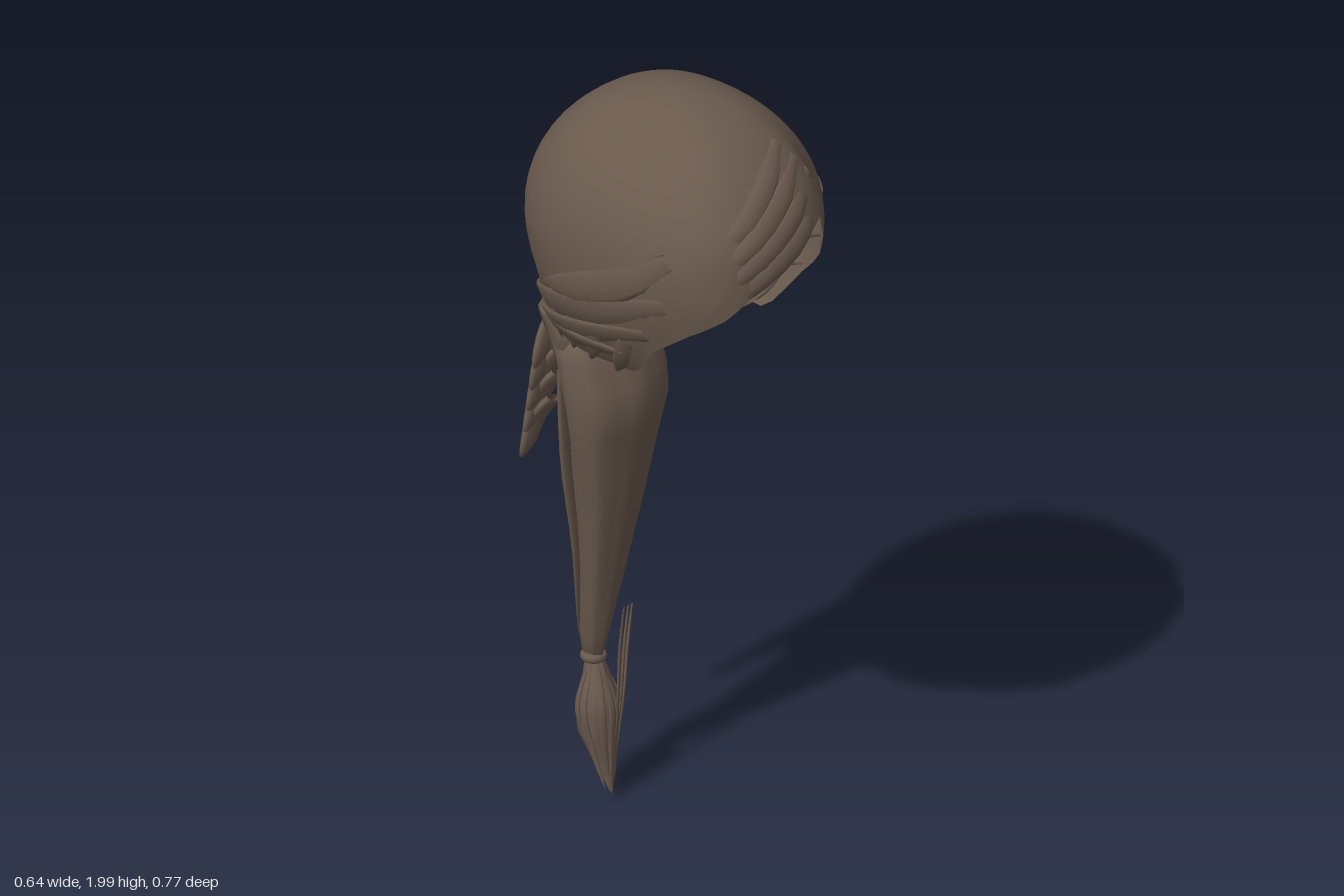
import * as THREE from 'three';
import { mergeVertices } from 'three/addons/utils/BufferGeometryUtils.js';

const rad = THREE.MathUtils.degToRad;

// Linear lookup in a table of [key, value, value...] rows, keys ascending
function lookup(table, k) {
  let i = 0;
  while (i < table.length - 2 && k > table[i + 1][0]) i++;
  const a = table[i], b = table[i + 1];
  const t = THREE.MathUtils.clamp((k - a[0]) / (b[0] - a[0]), 0, 1);
  return a.slice(1).map((v, j) => v + (b[j + 1] - v) * t);
}

// Smooth surface from a rule fn(u, v) -> [x, y, z]
function surface(nu, nv, fn) {
  const pos = [], index = [];
  for (let j = 0; j <= nv; j++)
    for (let i = 0; i <= nu; i++) pos.push(...fn(i / nu, j / nv));
  for (let j = 0; j < nv; j++)
    for (let i = 0; i < nu; i++) {
      const a = j * (nu + 1) + i, b = a + nu + 1;
      index.push(a, b, a + 1, a + 1, b, b + 1);
    }
  let g = new THREE.BufferGeometry();
  g.setAttribute('position', new THREE.Float32BufferAttribute(pos, 3));
  g.setIndex(index);
  g = mergeVertices(g, 1e-5);
  g.computeVertexNormals();
  return g;
}

// Lower edge of the cap by angle from the front, towards +x
const HEM = [
  [-180, 1.30], [-120, 1.32], [-90, 1.35], [-77, 1.35], [-66, 1.45], [-52, 1.52], [-35, 1.58],
  [-18, 1.65], [0, 1.70], [20, 1.735], [37, 1.78], [45, 1.68], [54, 1.55], [66, 1.46],
  [77, 1.35], [90, 1.35], [120, 1.32], [180, 1.30],
];
// Below the widest level: y, half width, front z, back z
const LOWER = [[1.3, 0.19, 0.24, 0.325], [1.4, 0.255, 0.31, 0.335], [1.5, 0.288, 0.36, 0.35],
  [1.58, 0.305, 0.38, 0.375], [1.65, 0.31, 0.38, 0.382]];

// Point on the head surface at an angle and height
function headPoint(deg, y, off = 0) {
  let w, f, b;
  if (y > 1.65) {
    const r = Math.sqrt(Math.max(0, 1 - ((y - 1.65) / 0.35) ** 2));
    [w, f, b] = [0.31 * r, 0.375 * r, 0.382 * r];
  } else [w, f, b] = lookup(LOWER, y);
  const s = Math.sin(rad(deg)), c = Math.cos(rad(deg));
  const round = (v) => Math.sign(v) * Math.abs(v) ** 0.88;
  const low = THREE.MathUtils.clamp((1.95 - y) / 0.2, 0, 1);
  const k = 1 + low * (0.06 * Math.exp(-(((deg + 38) / 24) ** 2)) - 0.08 * Math.exp(-(((deg - 42) / 9) ** 2)));
  return [round(s) * (w * k + off), y, round(c) * ((c > 0 ? f : b) * k + off)];
}

// Flattened, tapering lock along a path; its flat side faces away from centre
function lock(points, width, thick, centre, tipStart = 0.15) {
  const curve = new THREE.CatmullRomCurve3(points.map((p) => new THREE.Vector3(...p)));
  return surface(8, 10, (u, v) => {
    const p = curve.getPoint(v), t = curve.getTangent(v);
    const out = p.clone().sub(centre(p)).normalize();
    const side = t.clone().cross(out).normalize();
    out.crossVectors(side, t).normalize();
    const size = Math.max(0.001, Math.sin(Math.PI * (tipStart + (1 - tipStart) * v)) ** 0.8);
    const a = u * Math.PI * 2;
    return p.addScaledVector(side, Math.cos(a) * width * size / 2)
      .addScaledVector(out, Math.sin(a) * thick * size / 2).toArray();
  });
}

// Closed lofted bundle: rows of y, half width, front z, back z (ascending y)
function bundle(rows, ridges, depth) {
  const top = rows[rows.length - 1][0], base = rows[0][0];
  const n = 14;
  return surface(24, n + 2, (u, v) => {
    const row = Math.round(v * (n + 2));
    const k = THREE.MathUtils.clamp((row - 1) / n, 0, 1);
    const y = top + (base - top) * k;
    const [w, f, b] = lookup(rows, y);
    const a = u * Math.PI * 2;
    const r = (row === 0 || row === n + 2) ? 0 : 1 + depth * Math.cos(a * ridges);
    return [Math.sin(a) * w * r, y, (f + b) / 2 + Math.cos(a) * (f - b) / 2 * r];
  });
}

export function createModel() {
  const model = new THREE.Group();
  const hair = new THREE.MeshStandardMaterial({ color: 0x6a5a4e, side: THREE.DoubleSide });
  hair.name = 'brown hair';
  const add = (name, geometry) => {
    const mesh = new THREE.Mesh(geometry, hair);
    mesh.name = name;
    model.add(mesh);
    return mesh;
  };

  // Crown shell with an open face and an uneven hairline
  add('crown', surface(72, 22, (u, v) => {
    const deg = -180 + 360 * u, [hem] = lookup(HEM, deg);
    return headPoint(deg, hem + (2 - hem) * Math.cos(v * Math.PI / 2));
  }));

  // Inner nape layer that thickens the back of the shell
  add('innerNape', surface(32, 6, (u, v) =>
    headPoint(95 + 170 * u > 180 ? 95 + 170 * u - 360 : 95 + 170 * u, 1.5 - 0.18 * v, -0.012 - 0.025 * v)));

  // Locks swept back from the temples to the nape
  const headCentre = () => new THREE.Vector3(0, 1.62, 0);
  const sweeps = [
    // start angle, start y, end angle, end y, width
    [60, 1.60, 168, 1.40, 0.09], [68, 1.50, 172, 1.36, 0.08],
    [80, 1.41, 174, 1.33, 0.07], [58, 1.72, 125, 1.50, 0.09],
  ];
  for (const side of [-1, 1])
    for (const [a0, y0, a1, y1, w] of sweeps) {
      const pts = [0, 0.25, 0.5, 0.75, 1].map((t) => headPoint(side * (a0 + (a1 - a0) * t),
        y0 + (y1 - y0) * t - 0.03 * Math.sin(Math.PI * t) * (y0 > 1.45 ? 1 : 0), 0.0));
      add('sweptLock', lock(pts, w, 0.022, headCentre));
    }

  // Fringe locks crossing the forehead towards the right temple
  for (let i = 0; i < 4; i++) {
    const pts = [0, 0.33, 0.66, 1].map((t) => {
      const deg = 34 - i * 4 - t * (86 - i * 5);
      return headPoint(deg, lookup(HEM, deg)[0] + 0.02 + i * 0.05, -0.002);
    });
    add('fringeLock', lock(pts, 0.06, 0.022, headCentre));
  }

  // Small loose tips below the ears
  for (const side of [-1, 1])
    for (let i = 0; i < 4; i++) {
      const deg = side * (78 + i * 13);
      add('looseTip', lock([headPoint(deg, 1.46), headPoint(deg + side * 5, 1.39), headPoint(deg + side * 12, 1.325 - 0.004 * i, 0.008)],
        0.05, 0.015, headCentre, 0.3));
    }

  // Gathered hair between nape and tail
  add('gather', bundle([[1.22, 0.14, -0.19, -0.31], [1.3, 0.16, -0.18, -0.335], [1.36, 0.17, -0.22, -0.345], [1.4, 0.12, -0.25, -0.33]], 9, 0.03));

  // Long tapering tail
  add('tail', bundle([[0.38, 0.02, -0.25, -0.305], [0.45, 0.035, -0.235, -0.31], [0.6, 0.058, -0.205, -0.29],
    [0.8, 0.09, -0.165, -0.275], [1.0, 0.128, -0.13, -0.28], [1.12, 0.15, -0.105, -0.29], [1.29, 0.15, -0.17, -0.32]], 7, 0.05));

  // Tie and brush end
  const tie = add('tie', new THREE.TorusGeometry(0.02, 0.013, 8, 16));
  tie.rotation.x = Math.PI / 2;
  tie.position.set(0, 0.375, -0.275);
  add('brushEnd', bundle([[0.03, 0.003, -0.214, -0.222], [0.1, 0.022, -0.215, -0.265], [0.18, 0.05, -0.215, -0.3],
    [0.26, 0.056, -0.215, -0.305], [0.33, 0.03, -0.235, -0.295], [0.38, 0.015, -0.255, -0.295]], 8, 0.1));

  // Stray strands around the brush end
  const brushCentre = (p) => new THREE.Vector3(0, p.y, -0.26);
  for (let i = 0; i < 10; i++) {
    const a = i * 2.4, s = Math.sin(a), c = Math.cos(a);
    add('brushStrand', lock([[s * 0.012, 0.37, -0.27 + c * 0.012], [s * 0.056, 0.26, -0.26 + c * 0.045],
      [s * 0.04, 0.16, -0.25 + c * 0.035], [s * 0.014, 0.01 + 0.012 * i, -0.222 + c * 0.006]], 0.022, 0.008, brushCentre));
  }
  for (const x of [0.058, 0.03, 0.045])
    add('looseStrand', lock([[x, 0.515, -0.205], [x * 0.9, 0.4, -0.215], [x * 0.7, 0.28, -0.215], [x * 0.3, 0.12, -0.218]],
      0.018, 0.008, brushCentre));

  // Overlapping leaf shaped locks behind the top of the tail
  const tailCentre = (p) => new THREE.Vector3(p.x * 0.5, p.y, -0.1);
  for (const side of [-1, 1])
    for (let i = 0; i < 5; i++) {
      const y = 1.33 - i * 0.06, drop = side > 0 ? 0.21 : 0.16;
      const x = side * (0.03 + 0.016 * i), reach = side * (0.135 + 0.004 * i);
      add('leafLock', lock([[x, y, -0.315], [(x + reach) / 2, y - drop * 0.35, -0.335 - 0.003 * i],
        [reach, y - drop * 0.75, -0.325 - 0.006 * i], [reach * 0.98, y - drop, -0.335 - 0.009 * i]],
        0.085, 0.03, tailCentre, 0.25));
    }
  for (let i = 0; i < 3; i++)
    add('leafLock', lock([[-0.03 + i * 0.03, 1.33 - i * 0.05, -0.32], [-0.01 + i * 0.015, 1.2 - i * 0.06, -0.325],
      [0.005, 1.07 - i * 0.06, -0.29]], 0.1, 0.03, tailCentre, 0.25));
  // Wisps hanging off the left side of the leaves
  for (let i = 0; i < 4; i++)
    add('wisp', lock([[0.13, 1.16 - i * 0.02, -0.32], [0.152, 1.05, -0.335 - i * 0.004], [0.14 - i * 0.008, 0.92 + i * 0.02, -0.38 + i * 0.012]],
      0.03, 0.01, tailCentre, 0.2));

  // Flat ridges running down the tail
  for (let i = 0; i < 7; i++) {
    const x = -0.12 + i * 0.04, z = (k) => (i % 2 ? -0.275 - k : -0.28 - k);
    add('tailLock', lock([[x, 1.2, -0.27], [x * 0.85, 0.95, z(-0.01)], [x * 0.5, 0.7, z(-0.005)], [x * 0.2, 0.42, -0.3]],
      0.045, 0.02, tailCentre, 0.2));
  }
  return model;
}
